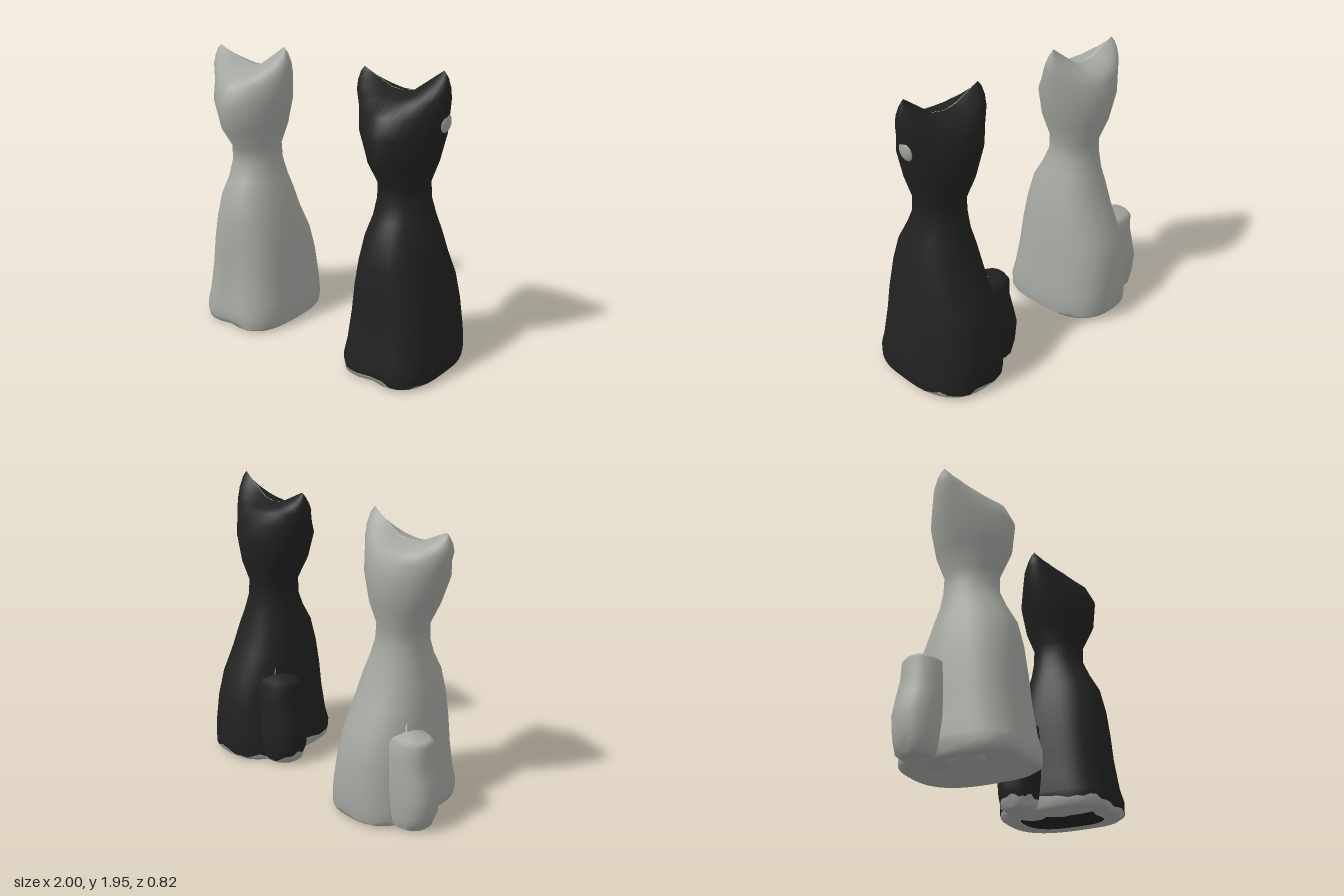
import * as THREE from 'three';

const glazeBlack = new THREE.MeshStandardMaterial({ color: 0x212121 });
const ceramicGrey = new THREE.MeshStandardMaterial({ color: 0xa4a6a1 });
glazeBlack.name = 'black glaze';
ceramicGrey.name = 'pale ceramic';

const SIDES = 40;

// Uneven lower border of the glaze: higher towards the front left of the foot
function glazeEdge(x, z, j) {
  const y = 0.04 - (z > -0.1 ? 0.08 * x - 0.01 : 0) + 0.012 * Math.sin(j * 5.1) + 0.008 * Math.sin(j * 2.3);
  return THREE.MathUtils.clamp(y, 0.025, 0.095);
}

// One horizontal ring: pf and pb set how boxy the front and back halves are,
// lifts raises the two ends (left side of the frame first)
function section(y, x0, x1, zBack, zFront, pf = 2.5, pb = 2.5, lifts = [0, 0]) {
  return { y, cx: (x0 + x1) / 2, hw: (x1 - x0) / 2, zBack, zFront, pf, pb, lifts };
}

// Joins rings into a smooth skin; bare(r) tells which bands are unglazed,
// edgeRow is the ring that follows the glaze border
function loft(rings, bare, edgeRow, glaze, toeDip = 0) {
  const pos = [], index = [];
  const geo = new THREE.BufferGeometry();
  rings.forEach((ring, r) => {
    for (let j = 0; j < SIDES; j++) {
      const a = (j / SIDES) * Math.PI * 2, c = Math.cos(a), s = Math.sin(a);
      const p = 2 / (s >= 0 ? ring.pf : ring.pb);
      const u = Math.sign(c) * Math.abs(c) ** p;
      const x = ring.cx + ring.hw * u;
      let z = (s >= 0 ? ring.zFront : ring.zBack) * Math.abs(s) ** p;
      // shallow dip between the front legs
      if (s > 0 && ring.y < 0.5) z *= 1 - toeDip * (1 - ring.y) * Math.exp(-((u / 0.25) ** 2));
      const lift = ring.lifts[u < 0 ? 0 : 1] * Math.max(0, (Math.abs(u) - 0.22) / 0.78);
      pos.push(x, r === edgeRow ? glazeEdge(x, z, j) : ring.y + lift, z);
    }
  });
  for (let r = 0; r < rings.length - 1; r++) {
    geo.addGroup(index.length, SIDES * 6, bare(r) ? 1 : 0);
    for (let j = 0; j < SIDES; j++) {
      const k = (j + 1) % SIDES, a = r * SIDES, b = a + SIDES;
      index.push(a + j, b + j, a + k, a + k, b + j, b + k);
    }
  }
  geo.setAttribute('position', new THREE.Float32BufferAttribute(pos, 3));
  geo.setIndex(index);
  geo.computeVertexNormals();
  return new THREE.Mesh(geo, [glaze, ceramicGrey]);
}

// Underside recess and rounded foot: height and share of the full base size
const footSteps = [[0.09, 0.02], [0.08, 0.54], [0.005, 0.66], [0, 0.9], [0.02, 0.97], [0.05, 0.99]];

// Haunches, chest, neck and face: y, xMin, xMax, zBack, zFront
const outline = [
  [0.11, -0.25, 0.38, -0.42, 0.41],
  [0.2, -0.24, 0.37, -0.42, 0.385],
  [0.4, -0.225, 0.345, -0.405, 0.36],
  [0.58, -0.215, 0.325, -0.36, 0.35],
  [0.75, -0.195, 0.295, -0.275, 0.335],
  [0.9, -0.17, 0.26, -0.225, 0.305],
  [1.02, -0.14, 0.22, -0.185, 0.24],
  [1.13, -0.13, 0.19, -0.16, 0.195],
  [1.24, -0.13, 0.185, -0.155, 0.2],
  [1.38, -0.2, 0.235, -0.205, 0.3],
  [1.56, -0.275, 0.285, -0.23, 0.32],
  [1.68, -0.305, 0.303, -0.205, 0.26],
];

function makeBody(glaze, crown, ears) {
  const rings = footSteps.map(([y, k]) =>
    section(y, 0.065 - 0.315 * k, 0.065 + 0.315 * k, -0.42 * k, 0.41 * k, 3.2, 2.6));
  // boxy at the legs, round at the neck, wedge-shaped at the face
  for (const [y, ...sides] of outline) {
    rings.push(section(y, ...sides, y > 1.3 ? 1.6 : 3.2 - y, 2.6 - 0.45 * y));
  }
  // crown closing to a thin ridge whose ends rise into the ears
  for (const t of [0, 0.35, 0.7, 0.9, 0.99]) {
    const lifts = ears.map(h => h * (0.2 + 0.8 * t));
    rings.push(section(crown - 0.045 * (1 - t) ** 2, -0.328 + 0.035 * t ** 3, 0.314 - 0.045 * t ** 3,
      -0.165 * (1 - t), 0.175 * (1 - t), 2 + t, 2 + t, lifts));
  }
  const body = loft(rings, r => r === 0 || (r >= 2 && r < 5), 5, glaze, 0.07);
  body.name = 'bodyAndHead';
  return body;
}

// Tail wrapped against the side: y, outer x, half depth
const tailSteps = [
  [0.005, -0.2, 0.01], [0.005, -0.33, 0.1], [0.02, -0.36, 0.125], [0.05, -0.375, 0.137],
  [0.11, -0.39, 0.147], [0.24, -0.405, 0.152], [0.36, -0.375, 0.147], [0.48, -0.345, 0.137],
  [0.58, -0.35, 0.127], [0.61, -0.33, 0.1], [0.635, -0.2, 0.02],
];

function makeTail(glaze) {
  const rings = tailSteps.map(([y, x, d]) =>
    section(y, x, d < 0.05 ? x + 0.02 : 0, -d, d, 2.5, 2.5, [0, y > 0.5 ? 0.05 : 0]));
  const tail = loft(rings, r => r < 3, 3, glaze);
  tail.name = 'tail';
  tail.position.z = -0.15;
  return tail;
}

function makeEllipsoid(name, radii, position) {
  const geo = new THREE.SphereGeometry(1, 20, 14).scale(...radii);
  const mesh = new THREE.Mesh(geo, ceramicGrey);
  mesh.name = name;
  mesh.position.set(...position);
  return mesh;
}

// One sitting cat: glazed skin, tail and the stopper in its base
function makeCat(name, x, glaze, crown, ears) {
  const cat = new THREE.Group();
  cat.name = name;
  cat.position.x = x;
  cat.add(
    makeBody(glaze, crown, ears),
    makeTail(glaze),
    makeEllipsoid('stopper', [0.1, 0.055, 0.1], [0.06, 0.085, 0]),
  );
  return cat;
}

export function createModel() {
  const model = new THREE.Group();
  model.name = 'catShakers';
  const paleCat = makeCat('paleCat', -0.595, ceramicGrey, 1.775, [0.1, 0.155]);
  const blackCat = makeCat('blackCat', 0.62, glazeBlack, 1.795, [0.105, 0.16]);

  // worn patch on the side of the head
  const patch = makeEllipsoid('wornPatch', [0.018, 0.06, 0.055], [0.287, 1.635, -0.015]);
  patch.rotation.z = -0.15;
  blackCat.add(patch);

  model.add(paleCat, blackCat);
  return model;
}
